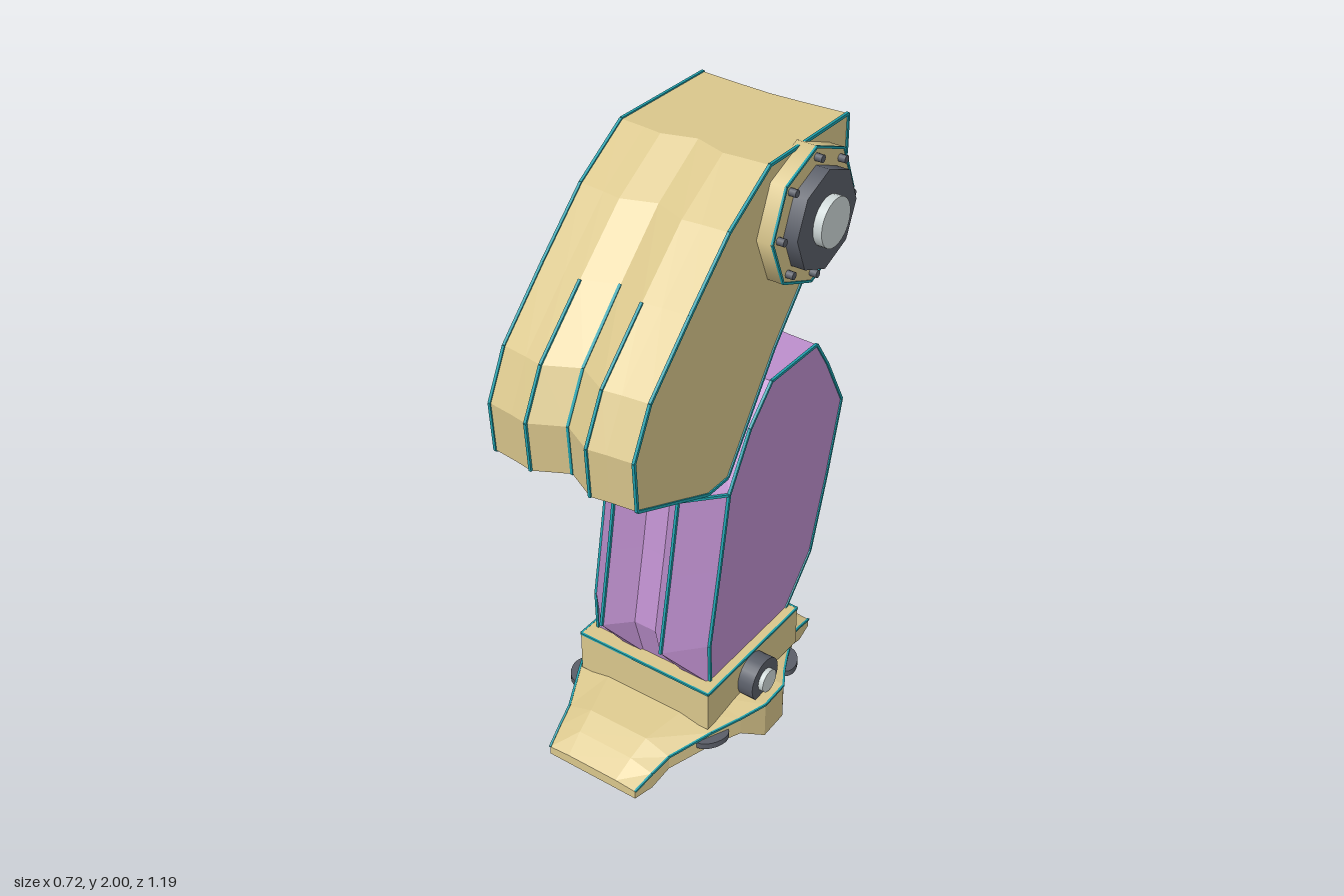
import * as THREE from 'three';
import { mergeGeometries } from 'three/addons/utils/BufferGeometryUtils.js';

const mat = (name, color, side = THREE.FrontSide) => {
  const m = new THREE.MeshStandardMaterial({ color, side });
  m.name = name;
  return m;
};

export function createModel() {
  const tan = mat('tan armour', 0xd9c68c);
  const purple = mat('purple armour', 0xbd8fcd);
  const dark = mat('dark metal', 0x5a5e68);
  const light = mat('light metal', 0xcdd6d6);
  const teal = mat('teal trim', 0x1fa0ac);
  const model = new THREE.Group();

  const add = (name, geo, material, x = 0, y = 0, z = 0, parent = model) => {
    const m = new THREE.Mesh(geo, material);
    m.name = name;
    m.position.set(x, y, z);
    parent.add(m);
    return m;
  };

  // Flat-faceted skin over rings that run counter-clockwise seen from the last one
  const loft = (rings) => {
    const pos = [];
    const tri = (...p) => p.forEach((v) => pos.push(v.x, v.y, v.z));
    const n = rings[0].length;
    for (let c = 0; c < rings.length - 1; c++) {
      for (let i = 0; i < n; i++) {
        const j = (i + 1) % n, a = rings[c], b = rings[c + 1];
        tri(a[i], a[j], b[j]);
        tri(a[i], b[j], b[i]);
      }
    }
    [rings[0], rings[rings.length - 1]].forEach((r, end) => {
      const mid = r.reduce((s, p) => s.add(p), new THREE.Vector3()).divideScalar(n);
      for (let i = 0; i < n; i++) {
        const j = (i + 1) % n;
        if (end) tri(mid, r[i], r[j]);
        else tri(mid, r[j], r[i]);
      }
    });
    const g = new THREE.BufferGeometry();
    g.setAttribute('position', new THREE.Float32BufferAttribute(pos, 3));
    g.computeVertexNormals();
    return g;
  };

  // Thin square bars along a list of polylines
  const trim = (name, lines, t = 0.009) => {
    const bars = [];
    lines.forEach((line) => {
      for (let i = 0; i < line.length - 1; i++) {
        const o = new THREE.Object3D();
        o.position.copy(line[i]).lerp(line[i + 1], 0.5);
        o.lookAt(line[i + 1]);
        o.updateMatrix();
        bars.push(new THREE.BoxGeometry(t, t, line[i].distanceTo(line[i + 1])).applyMatrix4(o.matrix));
      }
    });
    add(name, mergeGeometries(bars), teal);
  };

  // Columns are [x, front shift, back shift]; profile points are [z, y, front weight, back weight]
  const columnRings = (columns, profile) => columns.map(([x, f, b]) =>
    profile.map(([z, y, wf = 0, wb = 0]) => new THREE.Vector3(x, y, z + f * wf + b * wb)));
  const closed = (ring) => [...ring, ring[0]];

  // Thigh
  const thigh = columnRings(
    [[-0.265, 0, 0], [-0.18, 0.01, 0.006], [-0.12, 0.02, 0.01], [-0.015, -0.035, 0.015],
      [0.09, 0.02, 0.01], [0.15, 0.01, 0.006], [0.235, 0, 0]],
    [[-0.45, 1.99, 0, 1], [-0.05, 1.99, 0.6], [0.14, 1.87, 0.7], [0.32, 1.7, 0.8], [0.5, 1.52, 1],
      [0.575, 1.37, 1], [0.565, 1.205, 1], [0.23, 1.06], [0.13, 1.06], [-0.1, 1.39, 0, 1],
      [-0.3, 1.62, 0, 1], [-0.42, 1.79, 0, 1], [-0.45, 1.87, 0, 1]]);
  add('thigh', loft(thigh), tan);
  trim('thighTrim', [closed(thigh[0]), closed(thigh[6]),
    ...[2, 3, 4].map((c) => thigh[c].slice(3, 7))]);

  // Shin, with two ridges on the front and a rounded back
  const shin = columnRings(
    [[-0.24, 0, 0], [-0.13, 0.115, -0.01], [-0.055, 0.04, -0.035],
      [0.025, 0.04, -0.035], [0.1, 0.115, -0.01], [0.205, 0, 0]],
    [[-0.39, 1.24, 0, 0.3], [-0.14, 1.24], [-0.03, 1.13, 0.1], [0.075, 0.95, 1], [0.12, 0.69, 1],
      [0.17, 0.42, 1], [0.165, 0.26], [-0.26, 0.26], [-0.41, 0.425, 0, 1],
      [-0.49, 0.685, 0, 1], [-0.56, 0.95, 0, 1], [-0.46, 1.135, 0, 1]]);
  add('shin', loft(shin), purple);
  trim('shinTrim', [closed(shin[0]), closed(shin[5]), shin.map((r) => r[3]),
    ...[1, 4].map((c) => shin[c].slice(3, 6))]);

  // Knee link between shin and thigh
  const link = [[0.02, 1.28], [0.12, 1.1], [0.08, 1.06], [-0.02, 1.06], [-0.12, 1.18]];
  add('kneeLink', loft(columnRings([[-0.11, 0, 0], [0.08, 0, 0]], link)), purple);

  // Disc facing sideways
  const disc = (name, r, x0, x1, y, z, material, sides = 24, parent = model) => {
    const g = new THREE.CylinderGeometry(r, r, Math.abs(x1 - x0), sides).rotateZ(-Math.PI / 2);
    return add(name, g, material, (x0 + x1) / 2, y, z, parent);
  };

  // Round knee tabs under the thigh and on top of the shin
  for (const x of [-0.12, 0.09]) {
    disc('thighTab', 0.066, x - 0.015, x + 0.015, 1.07, 0.21, light);
    disc('shinTab', 0.062, x - 0.015, x + 0.015, 1.21, -0.245, light);
  }

  // Hip joint: octagonal plate, collar, pin and bolts
  const hip = new THREE.Group();
  hip.name = 'hipJoint';
  hip.position.set(0, 1.787, -0.205);
  model.add(hip);
  disc('hipPlate', 0.213, 0.22, 0.285, 0, 0, tan, 8, hip);
  disc('hipCollar', 0.155, 0.285, 0.33, 0, 0, dark, 8, hip);
  disc('hipPin', 0.076, 0.33, 0.358, 0, 0, light, 24, hip);
  for (let i = 0; i < 8; i++) {
    const a = i * Math.PI / 4;
    disc('hipBolt', 0.012, 0.28, 0.308, 0.18 * Math.sin(a), 0.18 * Math.cos(a), dark, 8, hip);
  }
  const octagon = Array.from({ length: 9 }, (_, i) => new THREE.Vector3(
    0.285, 1.787 + 0.21 * Math.sin(i * Math.PI / 4), -0.205 + 0.21 * Math.cos(i * Math.PI / 4)));
  trim('hipTrim', [octagon], 0.007);

  // Ankle block
  add('ankle', new THREE.BoxGeometry(0.505, 0.15, 0.515), tan, -0.015, 0.2, -0.035);
  const corner = (y) => [[-0.267, 0.222], [0.237, 0.222], [0.237, -0.292], [-0.267, -0.292], [-0.267, 0.222]]
    .map(([x, z]) => new THREE.Vector3(x, y, z));
  trim('ankleTrim', [corner(0.272)], 0.007);

  // Ankle pivots on both sides
  for (const s of [-1, 1]) {
    const at = (d) => -0.015 + s * d;
    disc('anklePivot', 0.075, at(0.25), at(0.308), 0.19, -0.02, dark);
    disc('anklePin', 0.04, at(0.308), at(0.325), 0.19, -0.02, light);
  }

  // Foot: stations are [z, half width, top, edge, bottom, underside]
  const stations = [
    [-0.51, 0.17, 0.035, 0.03, 0, 0], [-0.43, 0.185, 0.08, 0.06, 0, 0.01],
    [-0.36, 0.2, 0.115, 0.085, 0.035, 0.05], [-0.22, 0.265, 0.14, 0.115, 0.06, 0.09],
    [-0.15, 0.3, 0.15, 0.125, 0.06, 0.1], [-0.08, 0.342, 0.155, 0.135, 0, 0.1],
    [0.03, 0.345, 0.155, 0.135, 0, 0.1], [0.12, 0.31, 0.15, 0.125, 0.06, 0.1],
    [0.22, 0.265, 0.14, 0.115, 0.06, 0.09], [0.36, 0.2, 0.115, 0.085, 0.035, 0.05],
    [0.43, 0.185, 0.08, 0.06, 0, 0.01], [0.5, 0.17, 0.035, 0.03, 0, 0]];
  const foot = stations.map(([z, w, top, edge, bottom, under]) =>
    [[w, bottom], [w, edge], [0.55 * w, top], [-0.55 * w, top], [-w, edge], [-w, bottom],
      [-0.7 * w, under], [0.7 * w, under]].map(([x, y]) => new THREE.Vector3(x - 0.015, y, z)));
  add('foot', loft(foot), tan);
  trim('footTrim', [1, 4].map((i) => foot.map((r) => r[i])), 0.007);
  add('solePlate', new THREE.BoxGeometry(0.3, 0.03, 0.3), dark, -0.015, 0.09, -0.02);

  // Flat pads at the four corners of the foot
  for (const sx of [-1, 1]) {
    for (const sz of [-1, 1]) {
      const pad = add('footPad', new THREE.CylinderGeometry(0.06, 0.06, 0.022, 20), dark,
        -0.015 + sx * 0.262, 0.09, -0.005 + sz * 0.22);
      pad.scale.set(0.6, 1, 1);
      pad.rotation.y = -sx * sz * 0.5;
    }
  }
  return model;
}
